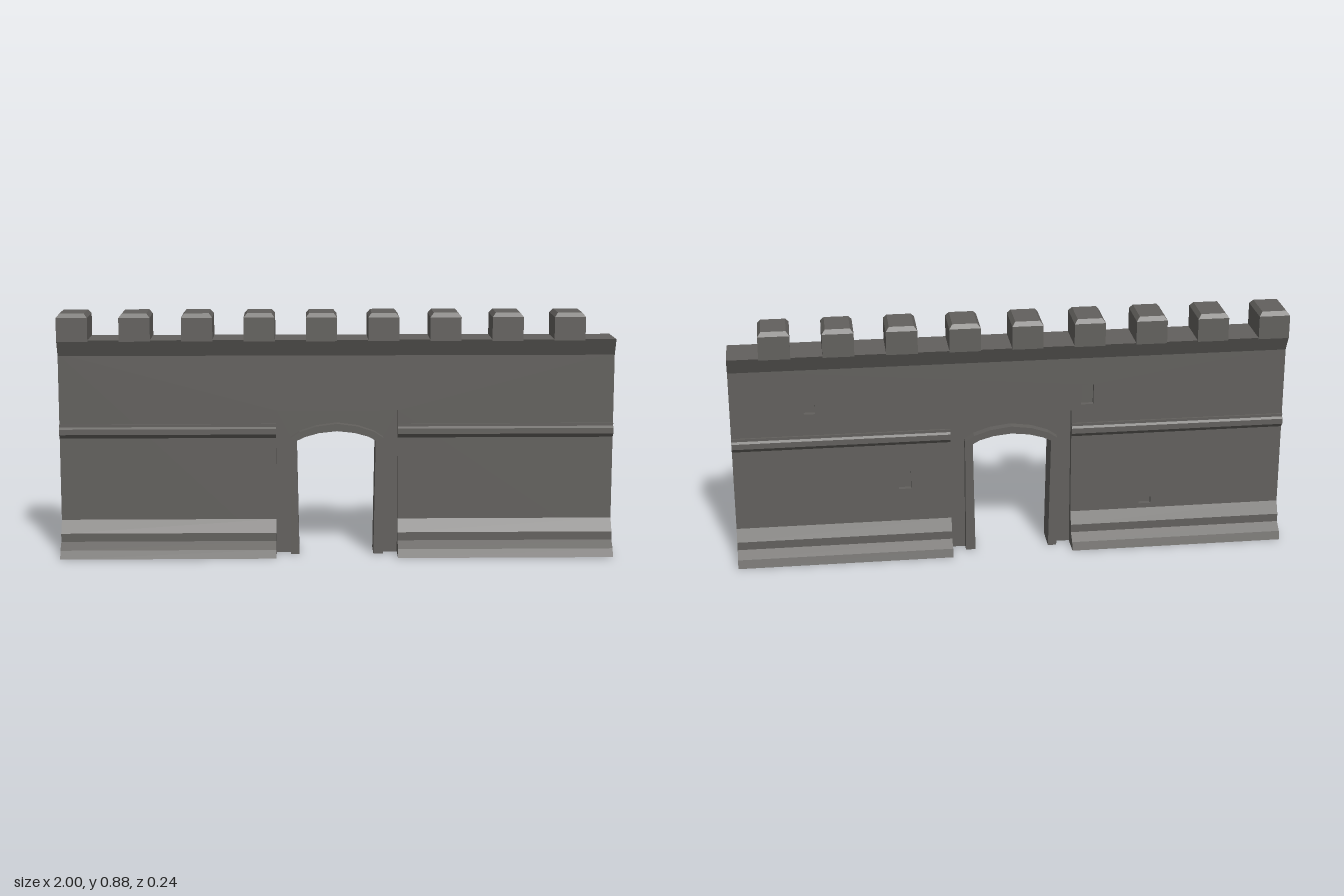
import * as THREE from 'three';

const stone = new THREE.MeshStandardMaterial({ color: 0x62605d });
stone.name = 'grey stone';

const toShape = (pts) => new THREE.Shape(pts.map(([x, y]) => new THREE.Vector2(x, y)));

// Outline in x,y pushed through the wall from z0 to z1
function slab(name, shape, z0, z1) {
  const geo = new THREE.ExtrudeGeometry(shape, { depth: z1 - z0, bevelEnabled: false });
  geo.translate(0, 0, z0);
  const mesh = new THREE.Mesh(geo, stone);
  mesh.name = name;
  return mesh;
}

// Cross-section in z,y run along the wall from x0 to x1
function moulding(name, profile, x0, x1) {
  const shape = toShape(profile.map(([z, y]) => [-z, y]));
  const geo = new THREE.ExtrudeGeometry(shape, { depth: x1 - x0, bevelEnabled: false });
  geo.rotateY(Math.PI / 2);
  geo.translate(x0, 0, 0);
  const mesh = new THREE.Mesh(geo, stone);
  mesh.name = name;
  return mesh;
}

// Block with a chamfered top
function merlon(x) {
  const y0 = 0.785, yc = 0.87, y1 = 0.885, w = 0.111, d = 0.158;
  const box = new THREE.BoxGeometry(w, 1, d, 1, 2, 1);
  const pos = box.attributes.position;
  for (let i = 0; i < pos.count; i++) {
    const y = pos.getY(i);
    if (y > 0.25) {
      pos.setX(i, pos.getX(i) - Math.sign(pos.getX(i)) * 0.012);
      pos.setZ(i, pos.getZ(i) - Math.sign(pos.getZ(i)) * 0.012);
    }
    pos.setY(i, y > 0.25 ? y1 : y < -0.25 ? y0 : yc);
  }
  const geo = box.toNonIndexed();
  geo.computeVertexNormals();
  const mesh = new THREE.Mesh(geo, stone);
  mesh.name = 'merlon';
  mesh.position.set(x + w / 2, 0, -0.006);
  return mesh;
}

export function createModel() {
  const group = new THREE.Group();
  group.name = 'gateWall';

  // Wall body with a square gate bay
  const bay = 0.22, bayTop = 0.53;
  const wallOutline = [[-1, 0], [-bay, 0], [-bay, bayTop], [bay, bayTop], [bay, 0], [1, 0], [1, 0.74], [-1, 0.74]];
  group.add(slab('wallFront', toShape(wallOutline), -0.035, 0.043));

  // Back skin with shallow slots: x, y, width, height
  const back = toShape(wallOutline);
  const slots = [[0.72, 0.6, 0.04, 0.075], [0.387, 0.29, 0.045, 0.07], [-0.277, 0.59, 0.045, 0.075], [-0.497, 0.16, 0.045, 0.025]];
  for (const [x, y, w, h] of slots) {
    back.holes.push(new THREE.Path([[-1, -1], [-1, 1], [1, 1], [1, -1]].map(
      ([a, b]) => new THREE.Vector2(x + a * w / 2, y + b * h / 2))));
  }
  group.add(slab('wallBack', back, -0.053, -0.035));

  // Gate opening and the outer edge of its surround, left to right
  const opening = [[-0.137, 0], [-0.145, 0.42], [-0.115, 0.434], [-0.065, 0.448], [0, 0.455],
    [0.065, 0.448], [0.115, 0.434], [0.14, 0.42], [0.133, 0]];
  const surround = [[0.168, 0], [0.168, 0.43], [0.135, 0.452], [0.075, 0.472], [0, 0.482],
    [-0.075, 0.472], [-0.135, 0.452], [-0.168, 0.43], [-0.168, 0]];
  group.add(slab('gateSurround', toShape([...opening, ...surround]), -0.06, 0.05));

  // Recessed panel filling the bay around the surround
  const panel = [[bay, 0], [bay, bayTop], [-bay, bayTop], [-bay, 0]];
  group.add(slab('gatePanel', toShape([...surround.slice().reverse(), ...panel]), -0.028, 0.018));

  // Plinth and string course on each side of the gate
  const plinth = [[0.119, 0], [0.107, 0.03], [0.073, 0.055], [0.073, 0.085], [0.043, 0.13],
    [-0.053, 0.13], [-0.075, 0.085], [-0.075, 0.055], [-0.108, 0.03], [-0.118, 0]];
  const band = [[0.043, 0.43], [0.058, 0.445], [0.058, 0.465], [0.05, 0.472], [0.05, 0.482], [0.043, 0.482],
    [-0.053, 0.482], [-0.06, 0.482], [-0.06, 0.472], [-0.067, 0.465], [-0.067, 0.445], [-0.053, 0.43]];
  for (const [x0, x1] of [[-1, -bay], [bay, 1]]) {
    group.add(moulding('plinth', plinth, x0, x1));
    group.add(moulding('stringCourse', band, x0, x1));
  }

  // Flared parapet and its merlons
  group.add(moulding('parapet', [[0.043, 0.73], [0.073, 0.79], [-0.085, 0.79], [-0.053, 0.73]], -1, 1));
  for (let i = 0; i < 9; i++) group.add(merlon(-1 + i * 2 / 9));

  return group;
}
